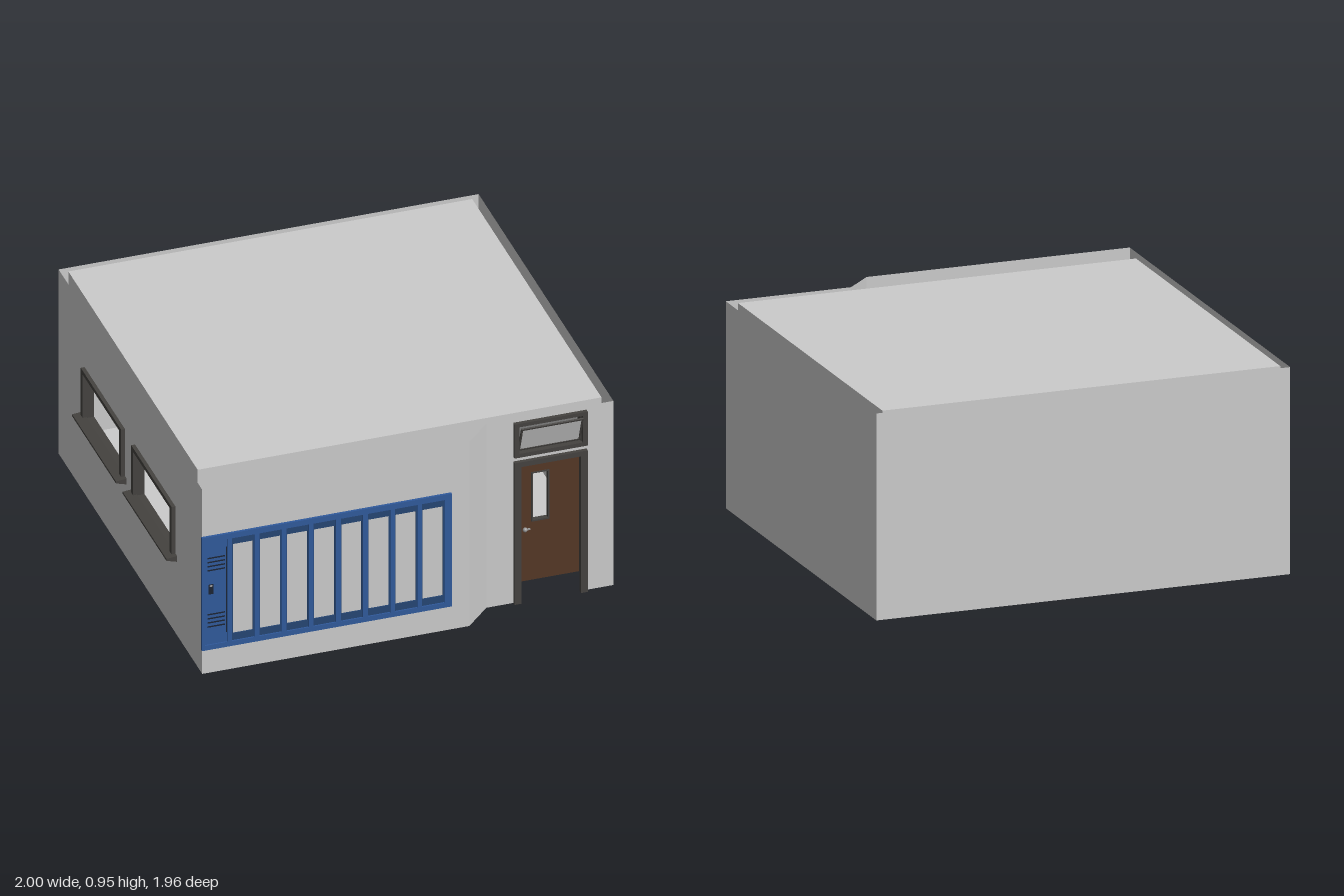
import * as THREE from 'three';

const mat = (color) => new THREE.MeshStandardMaterial({ color, side: THREE.DoubleSide });
const GREY = mat(0xcccccc);
const BLUE = mat(0x305a9c);
const NAVY = mat(0x264674);
const DARK = mat(0x454340);
const BROWN = mat(0x553726);
const BLACK = mat(0x1c2433);
const METAL = mat(0x999999);

const rectPath = (x0, x1, y0, y1) => new THREE.Path([
  [x0, y0], [x0, y1], [x1, y1], [x1, y0],
].map(([x, y]) => new THREE.Vector2(x, y)));

const rectShape = (x0, x1, y0, y1, holes = []) => {
  const s = new THREE.Shape([[x0, y0], [x1, y0], [x1, y1], [x0, y1]].map(([x, y]) => new THREE.Vector2(x, y)));
  holes.forEach((h) => s.holes.push(rectPath(...h)));
  return s;
};

function add(parent, name, geometry, material) {
  const mesh = new THREE.Mesh(geometry, material);
  mesh.name = name;
  parent.add(mesh);
  return mesh;
}

// Box given by its limits
function box(parent, name, material, x0, x1, y0, y1, z0, z1) {
  const g = new THREE.BoxGeometry(x1 - x0, y1 - y0, z1 - z0);
  g.translate((x0 + x1) / 2, (y0 + y1) / 2, (z0 + z1) / 2);
  return add(parent, name, g, material);
}

// Plate with rectangular holes, lying between z0 and z1
function plate(parent, name, material, outline, holes, z0, z1) {
  const g = new THREE.ExtrudeGeometry(rectShape(...outline, holes), { depth: z1 - z0, bevelEnabled: false });
  g.translate(0, 0, z0);
  return add(parent, name, g, material);
}

// Thin upright wall from plan point a to b; holes are [u0, u1, y0, y1]
// and a notch [u0, u1, top] cuts up from the lower edge
function wall(parent, name, a, b, y0, y1, holes = [], notch = null) {
  const dx = b[0] - a[0], dz = b[1] - a[1], len = Math.hypot(dx, dz);
  const pts = [[0, y0]];
  if (notch) pts.push([notch[0], y0], [notch[0], notch[2]], [notch[1], notch[2]], [notch[1], y0]);
  pts.push([len, y0], [len, y1], [0, y1]);
  const s = new THREE.Shape(pts.map(([x, y]) => new THREE.Vector2(x, y)));
  holes.forEach((h) => s.holes.push(rectPath(...h)));
  const g = new THREE.ShapeGeometry(s);
  g.rotateY(-Math.atan2(dz, dx));
  g.translate(a[0], 0, a[1]);
  return add(parent, name, g, GREY);
}

const H = 0.95;
const WINDOWS = [[-0.615, -0.09], [0.07, 0.595]];

function createShell() {
  const g = new THREE.Group();
  g.name = 'outerWalls';
  const back = -0.98;
  wall(g, 'frontWall', [-0.95, 0.97], [0.29, 0.97], 0, H);
  wall(g, 'slantedWall', [0.29, 0.97], [0.41, 0.85], 0, H);
  wall(g, 'doorWall', [0.41, 0.85], [1, 0.85], 0, H, [[0.145, 0.445, 0.77, 0.915]], [0.145, 0.445, 0.71]);
  wall(g, 'rightWall', [1, 0.85], [1, back], 0, H);
  wall(g, 'backWall', [1, back], [-0.95, back], 0, H);
  wall(g, 'leftWall', [-0.95, back], [-0.95, 0.97], 0, H,
    WINDOWS.map(([a, b]) => [a - back + 0.01, b - back - 0.01, 0.4, 0.64]));
  return g;
}

function createRoom() {
  const g = new THREE.Group();
  g.name = 'innerRoom';
  const x0 = -0.915, x1 = 0.96, z0 = -0.95, z1 = 0.805, y0 = 0.1;
  wall(g, 'roomFront', [x0, z1], [x1, z1], y0, H, [[0.555 - x0, 0.855 - x0, 0.77, 0.915]],
    [0.565 - x0, 0.845 - x0, 0.71]);
  wall(g, 'roomRight', [x1, z1], [x1, z0], y0, H);
  wall(g, 'roomBack', [x1, z0], [x0, z0], y0, H);
  wall(g, 'roomLeft', [x0, z0], [x0, z1], y0, H,
    WINDOWS.map(([a, b]) => [a - z0 + 0.01, b - z0 - 0.01, 0.4, 0.64]));
  for (const [name, y] of [['floor', y0], ['ceiling', H]]) {
    const p = new THREE.PlaneGeometry(x1 - x0, z1 - z0).rotateX(-Math.PI / 2);
    p.translate((x0 + x1) / 2, y, (z0 + z1) / 2);
    add(g, name, p, GREY);
  }
  return g;
}

// Window built facing +z around its own middle, then turned to face -x
function createWindow(zMin, zMax) {
  const g = new THREE.Group();
  g.name = 'sideWindow';
  const w = (zMax - zMin) / 2;
  plate(g, 'windowLining', DARK, [-w, w, 0.39, 0.65], [[-w + 0.015, w - 0.015, 0.405, 0.635]], -0.035, 0.004);
  plate(g, 'windowTrim', DARK, [-w - 0.012, w + 0.012, 0.385, 0.652],
    [[-w + 0.015, w - 0.015, 0.405, 0.632]], 0, 0.018);
  // Sill tapers to its outer edge
  const sill = new THREE.Shape([[0, 0.38], [0.05, 0.395], [0.05, 0.405], [0, 0.41]]
    .map(([x, y]) => new THREE.Vector2(x, y)));
  const sg = new THREE.ExtrudeGeometry(sill, { depth: 2 * w + 0.07, bevelEnabled: false });
  sg.rotateY(-Math.PI / 2).translate(w + 0.035, 0, 0);
  add(g, 'windowSill', sg, DARK);
  g.rotation.y = -Math.PI / 2;
  g.position.set(-0.95, 0, (zMin + zMax) / 2);
  return g;
}

function createDoorway() {
  const g = new THREE.Group();
  g.name = 'doorway';
  // Jambs and head
  for (const [a, b, c, d] of [[0.535, 0.567, 0.555, 0.567], [0.843, 0.875, 0.843, 0.855]]) {
    box(g, 'doorJamb', DARK, a, b, 0, 0.73, 0.848, 0.868);
    box(g, 'doorLining', DARK, c, d, 0.1, 0.71, 0.806, 0.85);
  }
  box(g, 'doorHead', DARK, 0.567, 0.843, 0.705, 0.73, 0.848, 0.868);
  box(g, 'doorHeadLining', DARK, 0.555, 0.855, 0.705, 0.715, 0.806, 0.85);
  // Leaf with its narrow window
  plate(g, 'doorLeaf', BROWN, [0.566, 0.844, 0.1, 0.706], [[0.625, 0.7, 0.405, 0.65]], 0.825, 0.845);
  plate(g, 'doorWindowTrim', DARK, [0.62, 0.705, 0.4, 0.655], [[0.627, 0.698, 0.407, 0.648]], 0.823, 0.847);
  const knob = add(g, 'doorKnob', new THREE.SphereGeometry(0.011, 12, 8), METAL);
  knob.position.set(0.588, 0.37, 0.856);
  box(g, 'doorLever', METAL, 0.588, 0.612, 0.367, 0.373, 0.852, 0.859);
  // Transom with a tilted pane
  plate(g, 'transomTrim', DARK, [0.535, 0.875, 0.755, 0.93], [[0.558, 0.852, 0.775, 0.912]], 0.848, 0.868);
  plate(g, 'transomLining', DARK, [0.555, 0.855, 0.765, 0.918], [[0.562, 0.848, 0.772, 0.911]], 0.806, 0.85);
  const sash = new THREE.Group();
  sash.name = 'transomSash';
  plate(sash, 'sashFrame', DARK, [-0.144, 0.144, 0, 0.142], [[-0.136, 0.136, 0.008, 0.134]], -0.004, 0.004);
  box(sash, 'sashPane', GREY, -0.136, 0.136, 0.008, 0.134, -0.001, 0.001);
  sash.position.set(0.705, 0.775, 0.837);
  sash.rotation.x = 0.33;
  g.add(sash);
  return g;
}

function createLockers() {
  const g = new THREE.Group();
  g.name = 'lockers';
  const pitch = 0.126, first = -0.889;
  const centres = Array.from({ length: 9 }, (_, i) => first + i * pitch);
  plate(g, 'lockerFrame', BLUE, [-0.955, 0.205, 0.125, 0.707],
    centres.map((c) => [c - 0.052, c + 0.052, 0.15, 0.68]), 0.968, 0.982);
  centres.forEach((c, i) => {
    box(g, 'lockerBody', NAVY, c - 0.057, c + 0.057, 0.135, 0.7, 0.845, 0.967);
    if (i > 0) {
      plate(g, 'lockerRim', NAVY, [c - 0.054, c + 0.054, 0.145, 0.685],
        [[c - 0.047, c + 0.047, 0.185, 0.645]], 0.968, 0.975);
    }
  });
  // Closed door on the first locker, with vents and a latch
  box(g, 'lockerDoor', BLUE, first - 0.051, first + 0.051, 0.152, 0.678, 0.968, 0.979);
  box(g, 'doorGap', BLACK, first + 0.046, first + 0.05, 0.2, 0.64, 0.976, 0.9805);
  for (const base of [0.24, 0.53]) {
    for (let k = 0; k < 4; k++) {
      const y = base + k * 0.021;
      box(g, 'ventSlot', BLACK, first - 0.04, first + 0.042, y, y + 0.006, 0.976, 0.981);
    }
  }
  box(g, 'latchPlate', BLACK, first - 0.035, first - 0.012, 0.41, 0.46, 0.976, 0.981);
  box(g, 'latchHandle', METAL, first - 0.03, first - 0.018, 0.45, 0.457, 0.979, 0.984);
  return g;
}

export function createModel() {
  const model = new THREE.Group();
  model.name = 'classroom';
  model.add(createShell(), createRoom(), createDoorway(), createLockers());
  WINDOWS.forEach(([a, b]) => model.add(createWindow(a, b)));
  return model;
}
